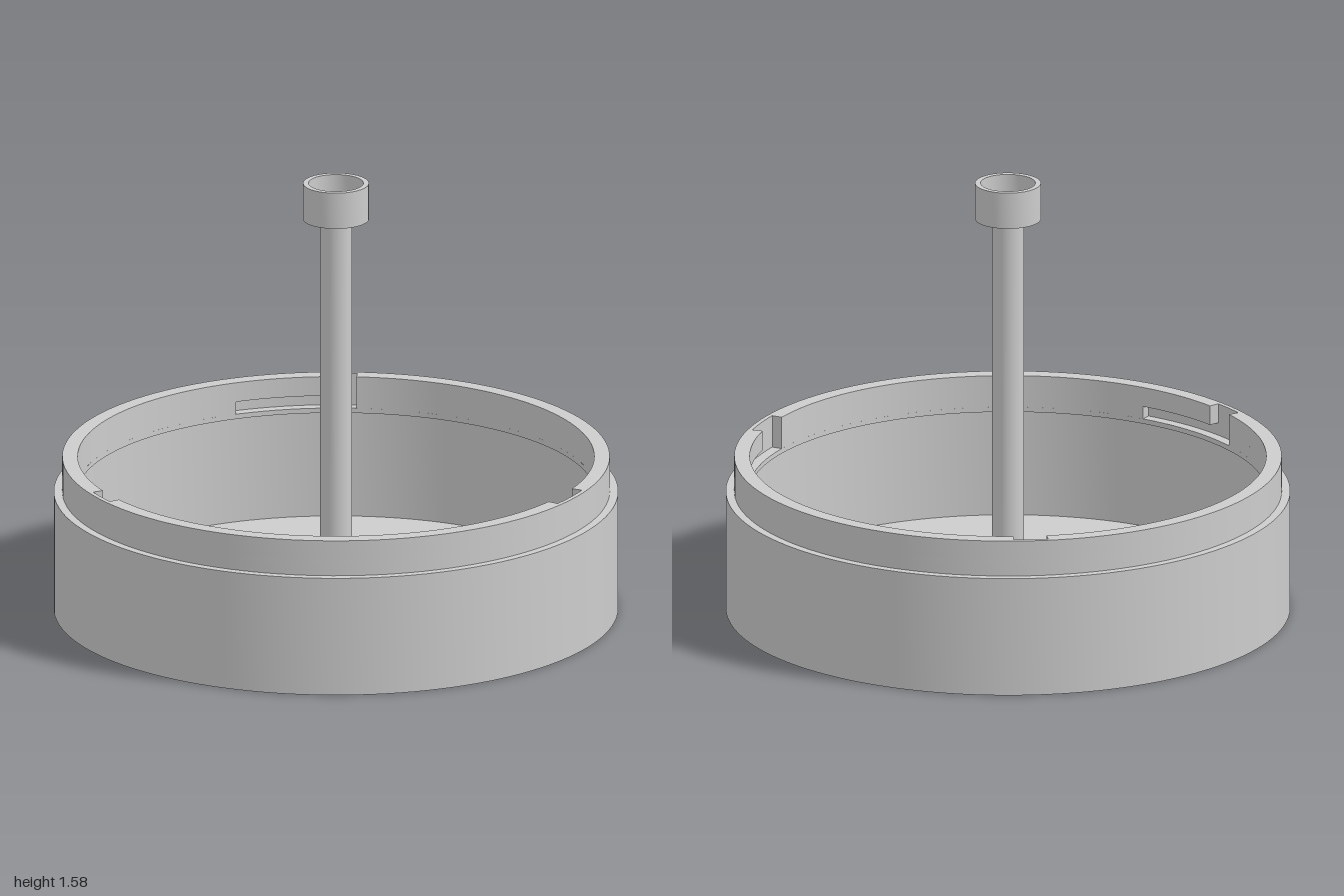
import * as THREE from 'three';
import { toCreasedNormals } from 'three/addons/utils/BufferGeometryUtils.js';

const SEGMENTS = 128;
const FLOOR = 0.03, WALL_R = 0.965;
const RIM_R = 0.97, RIM_INNER = 0.915, SLOT_R = 0.953;
const SLOT_Y = 0.448, SLOT_TOP = 0.494, RIM_TOP = 0.565;
const rad = THREE.MathUtils.degToRad;

export function createModel() {
  const group = new THREE.Group();
  const grey = new THREE.MeshStandardMaterial({ color: 0xcccccc });
  grey.name = 'plain grey';

  function add(name, geometry, y = 0) {
    const mesh = new THREE.Mesh(toCreasedNormals(geometry, 0.5), grey);
    mesh.name = name;
    mesh.position.y = y;
    group.add(mesh);
  }
  const lathe = (points, segments) =>
    new THREE.LatheGeometry(points.map(([r, y]) => new THREE.Vector2(r, y)), segments);

  // Extrudes a plan outline upwards; plan y runs towards the back
  const slab = (shape, height) =>
    new THREE.ExtrudeGeometry(shape, { depth: height, bevelEnabled: false, curveSegments: SEGMENTS / 2 })
      .rotateX(-Math.PI / 2);
  const disc = (r) => new THREE.Shape().absarc(0, 0, r, 0, Math.PI * 2, false);

  // Thin floor with two keyhole openings
  const floor = disc(WALL_R);
  for (const x of [-0.455, 0.455]) {
    const r = 0.067, w = 0.035;
    const a = Math.acos(w / r);
    const hole = new THREE.Path();
    hole.absarc(x, 0.291, r, Math.PI - a, Math.PI * 2 + a, false);
    hole.absarc(x, 0.401, w, 0, Math.PI, false);
    hole.closePath();
    floor.holes.push(hole);
  }
  add('floor', slab(floor, FLOOR));

  // Thin outer wall, stepping in to a thicker rim with a ledge below it
  add('wall', lathe([
    [WALL_R, 0], [1, 0], [1, 0.435], [RIM_R, 0.435], [RIM_R, SLOT_Y],
    [RIM_INNER, SLOT_Y], [RIM_INNER, 0.43], [WALL_R, 0.43], [WALL_R, 0],
  ], SEGMENTS));

  // Rim layers: three L-shaped locking slots, each open at the top at one end
  function rimLayer(name, y0, y1, widths) {
    const ring = disc(RIM_R);
    const inside = new THREE.Path();
    widths.forEach((width, i) => {
      const start = i * 120;
      inside.absarc(0, 0, SLOT_R, rad(start), rad(start + width), false);
      inside.absarc(0, 0, RIM_INNER, rad(start + width), rad(start + 120), false);
    });
    inside.closePath();
    ring.holes.push(inside);
    add(name, slab(ring, y1 - y0), y0);
  }
  rimLayer('slotLevelRim', SLOT_Y, SLOT_TOP, [27.3, 27.3, 27.3]);
  rimLayer('upperRim', SLOT_TOP, RIM_TOP, [10.6, 7.4, 7.4]);

  // Central post with an open cup on top
  const postHeight = 1.45 - FLOOR;
  add('post', new THREE.CylinderGeometry(0.057, 0.057, postHeight, 48, 1, true), FLOOR + postHeight / 2);
  add('cup', lathe([
    [0, 1.45], [0.117, 1.45], [0.117, 1.583], [0.097, 1.583], [0.097, 1.49], [0, 1.49],
  ], 48));

  return group;
}
